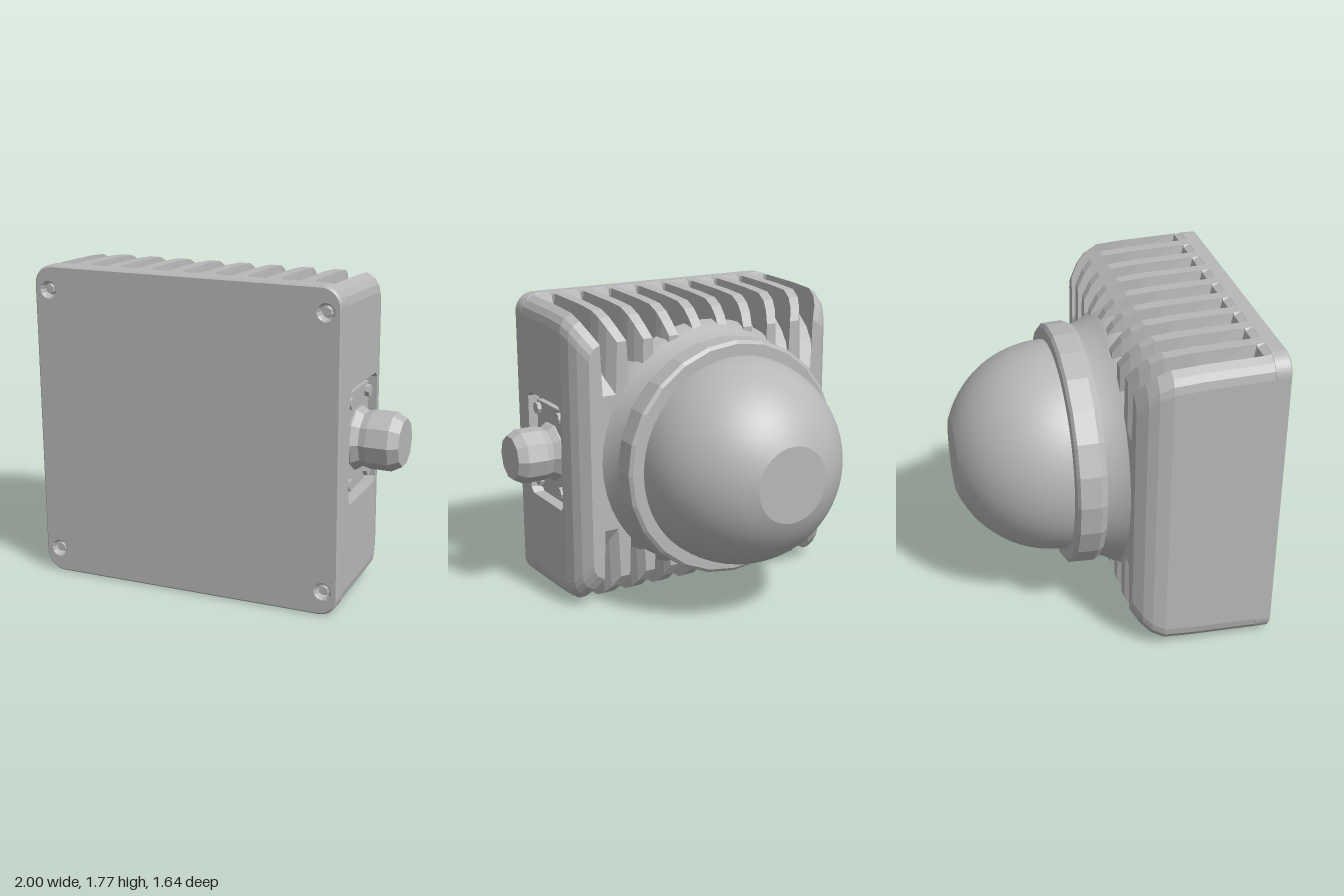
import * as THREE from 'three';

const grey = new THREE.MeshStandardMaterial({ color: 0xb8b8b8 });
grey.name = 'housing grey';

const W0 = 0.885, R0 = 0.11, SLOTS = 9, PITCH = 0.187;

// housing sections: z, half width, half height, slot floor half height
const SECTIONS = [
  [0.73, 0.885, 0.885, 0.885], [0.69, 0.885, 0.882, 0.87], [0.67, 0.885, 0.882, 0.80],
  [0.36, 0.885, 0.872, 0.75], [0.2, 0.885, 0.86, 0.62], [0.13, 0.868, 0.825, 0.55],
  [0.08, 0.84, 0.775, 0.48], [0.03, 0.79, 0.7, 0.4],
];

// comb-edged rounded rectangle, counter-clockwise from the upper right
function combSection([z, w, h, floor]) {
  const s = w / W0, r = R0 * s, top = [];
  const edgeY = (x) => {
    const d = Math.max(0, Math.abs(x) - (w - r));
    return h - r + Math.sqrt(Math.max(0, r * r - d * d));
  };
  const angles = [0, 0.4, 0.8];
  const arc = (a, side) => top.push([side * (w - r + r * Math.cos(a)), h - r + r * Math.sin(a)]);
  angles.forEach((a) => arc(a, 1));
  for (let i = 0; i < SLOTS; i++) {
    const x = ((SLOTS - 1) / 2 - i) * PITCH * s;
    for (const [dx, low] of [[0.06, 0], [0.047, 1], [-0.047, 1], [-0.06, 0]]) {
      const px = x + dx * s, y = edgeY(px);
      top.push([px, low ? Math.min(floor, y - 0.001) : y]);
    }
  }
  angles.slice().reverse().forEach((a) => arc(a, -1));
  return top.concat(top.map(([x, y]) => [-x, -y])).map(([x, y]) => new THREE.Vector3(x, y, z));
}

// loft of the sections, leaving the connector side open for its panel
function housingGeometry() {
  const rings = SECTIONS.map(combSection), n = rings[0].length, pts = [];
  for (let k = 0; k < rings.length - 1; k++) {
    for (let i = 0; i < n; i++) {
      if (i === n - 1 && k < 4) continue;
      const j = (i + 1) % n;
      const a = rings[k][i], b = rings[k][j], c = rings[k + 1][j], d = rings[k + 1][i];
      pts.push(a, d, c, a, c, b);
    }
  }
  const back = rings[rings.length - 1];
  const faces = THREE.ShapeUtils.triangulateShape(back.map((p) => new THREE.Vector2(p.x, p.y)), []);
  for (const [a, b, c] of faces) pts.push(back[a], back[c], back[b]);
  const g = new THREE.BufferGeometry().setFromPoints(pts);
  g.computeVertexNormals();
  return g;
}

// side panel with the chamfered connector opening
function sidePanelGeometry() {
  const edge = SECTIONS.slice(0, 5).map(([z, , h]) => [-z, h - R0]);
  const outline = edge.map(([a, y]) => [a, -y]).concat(edge.slice().reverse());
  const toPoints = (list) => list.map(([a, b]) => new THREE.Vector2(a, b));
  const shape = new THREE.Shape(toPoints(outline));
  const c = 0.03, l = -0.67, r = -0.22, b = -0.31, t = 0.32;
  shape.holes.push(new THREE.Path(toPoints([
    [l + c, b], [l, b + c], [l, t - c], [l + c, t], [r - c, t], [r, t - c], [r, b + c], [r - c, b],
  ])));
  const g = new THREE.ExtrudeGeometry(shape, { depth: 0.08, bevelEnabled: false });
  return g.rotateY(Math.PI / 2).translate(W0 - 0.08, 0, 0);
}

// front lid with four screw holes
function lidGeometry(screws) {
  const w = W0 - 0.01, r = R0 - 0.01, s = new THREE.Shape();
  [[1, 1], [-1, 1], [-1, -1], [1, -1]].forEach(([x, y], i) => {
    s.absarc(x * (w - r), y * (w - r), r, i * Math.PI / 2, (i + 1) * Math.PI / 2, false);
  });
  for (const [x, y] of screws) {
    const hole = new THREE.Path();
    hole.absarc(x, y, 0.05, 0, Math.PI * 2, true);
    s.holes.push(hole);
  }
  return new THREE.ExtrudeGeometry(s, {
    depth: 0.08, bevelSize: 0.01, bevelThickness: 0.01, bevelSegments: 1, curveSegments: 6,
  }).translate(0, 0, 0.73);
}

// turned part around the dome axis, from [radius, z] points running backwards
function turned(points, segments) {
  return new THREE.LatheGeometry(points.map(([r, z]) => new THREE.Vector2(r, -z)), segments)
    .rotateX(-Math.PI / 2);
}

function flat(g) {
  const out = g.index ? g.toNonIndexed() : g;
  out.computeVertexNormals();
  return out;
}

export function createModel() {
  const model = new THREE.Group();
  model.name = 'domeUnit';
  const body = new THREE.Group();
  body.name = 'body';
  body.position.set(-0.115, 0.892, 0);
  model.add(body);
  const add = (name, geometry, x = 0, y = 0, z = 0) => {
    const mesh = new THREE.Mesh(geometry, grey);
    mesh.name = name;
    mesh.position.set(x, y, z);
    body.add(mesh);
  };

  add('finnedHousing', housingGeometry());
  add('sidePanel', sidePanelGeometry());

  // lid and sunken hexagonal screws
  const screws = [[-1, -1], [-1, 1], [1, -1], [1, 1]].map(([x, y]) => [x * 0.8, y * 0.75]);
  add('frontLid', lidGeometry(screws));
  for (const [x, y] of screws) {
    add('lidScrewSeat', new THREE.CylinderGeometry(0.055, 0.055, 0.04, 12).rotateX(Math.PI / 2), x, y, 0.75);
    add('lidScrew', flat(new THREE.CylinderGeometry(0.025, 0.03, 0.04, 6).rotateX(Math.PI / 2)), x, y, 0.785);
  }

  // flared neck, grip ring and dome
  add('neck', turned([[0.755, 0.12], [0.74, 0.06], [0.72, 0.03], [0.685, -0.03], [0.665, -0.1]], 48));
  add('gripRing', flat(turned([
    [0.6, -0.085], [0.68, -0.085], [0.7, -0.12], [0.695, -0.235], [0.675, -0.25], [0.6, -0.25],
  ], 24)));
  const dome = [[0.605, -0.2]];
  for (let i = 0; i <= 14; i++) {
    const a = (i / 14) * 1.205;
    dome.push([0.605 * Math.cos(a), -0.26 - 0.605 * Math.sin(a)]);
  }
  add('dome', turned(dome, 64));
  add('domeFlat', new THREE.CircleGeometry(0.218, 64).rotateY(Math.PI), 0, 0, -0.825);

  // connector in its recess
  add('recessFloor', new THREE.BoxGeometry(0.02, 0.66, 0.48), W0 - 0.08, 0.005, 0.445);
  add('connectorFlange', new THREE.BoxGeometry(0.04, 0.54, 0.36), W0 - 0.055, 0.005, 0.44);
  for (const y of [-0.22, 0.23]) {
    for (const z of [0.3, 0.59]) {
      add('flangeScrew', flat(new THREE.CylinderGeometry(0.035, 0.035, 0.03, 8).rotateZ(-Math.PI / 2)), W0 - 0.025, y, z);
    }
  }
  const plug = new THREE.LatheGeometry([
    [0.175, 0.82], [0.175, 0.86], [0.15, 0.9], [0.16, 0.94], [0.16, 1.06], [0.13, 1.115], [0, 1.115],
  ].map(([r, x]) => new THREE.Vector2(r, x)), 10).rotateZ(-Math.PI / 2);
  add('connector', flat(plug), 0, 0, 0.43);

  return model;
}
